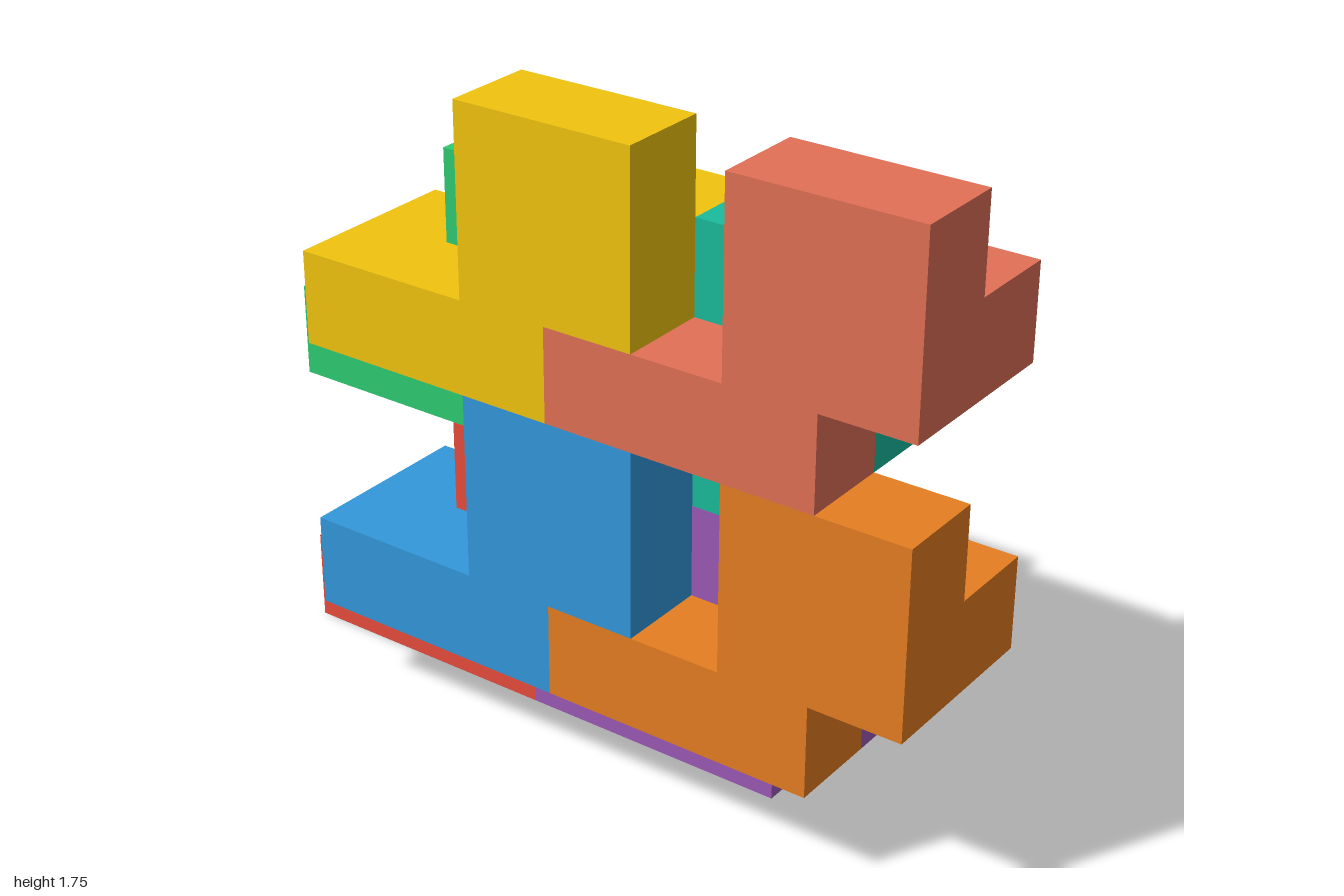
import * as THREE from 'three';
import { mergeGeometries } from 'three/addons/utils/BufferGeometryUtils.js';

const U = 0.25; // edge of one cube cell

// One puzzle piece: a stepped plate one cell thick with two cube tabs behind it.
function pieceGeometry() {
  const outline = [[0, 0], [3, 0], [3, 1], [4, 1], [4, 3], [2, 3], [2, 1], [0, 1]];
  const shape = new THREE.Shape(outline.map(([x, y]) => new THREE.Vector2(x * U, y * U)));
  const plate = new THREE.ExtrudeGeometry(shape, { depth: U, bevelEnabled: false });
  const tabs = [[0, 0], [3, 1]].map(([x, y]) =>
    new THREE.BoxGeometry(U, U, U)
      .toNonIndexed()
      .translate((x + 0.5) * U, (y + 0.5) * U, -U / 2));
  return mergeGeometries([plate, ...tabs]);
}

export function createModel() {
  const group = new THREE.Group();
  const geometry = pieceGeometry();

  // Colours of each tier: back right, back left, front right, front left
  const tiers = [
    ['lower', [0xe74c3c, 0x9b59b6, 0x3498db, 0xe67e22]],
    ['upper', [0x2ecc71, 0x1abc9c, 0xf1c40f, 0xe17055]],
  ];

  tiers.forEach(([tier, colors], t) => {
    colors.forEach((color, i) => {
      const front = i >> 1; // front pieces sit one cell right, up and forward
      const side = i & 1;   // neighbours interlock three cells apart
      const piece = new THREE.Mesh(geometry, new THREE.MeshStandardMaterial({ color }));
      piece.name = `${tier}${front ? 'Front' : 'Back'}${side ? 'Left' : 'Right'}Piece`;
      piece.position.set(
        -1 + (front + 3 * side) * U,
        (front + 3 * t) * U,
        (front - 0.5) * U);
      group.add(piece);
    });
  });

  return group;
}
